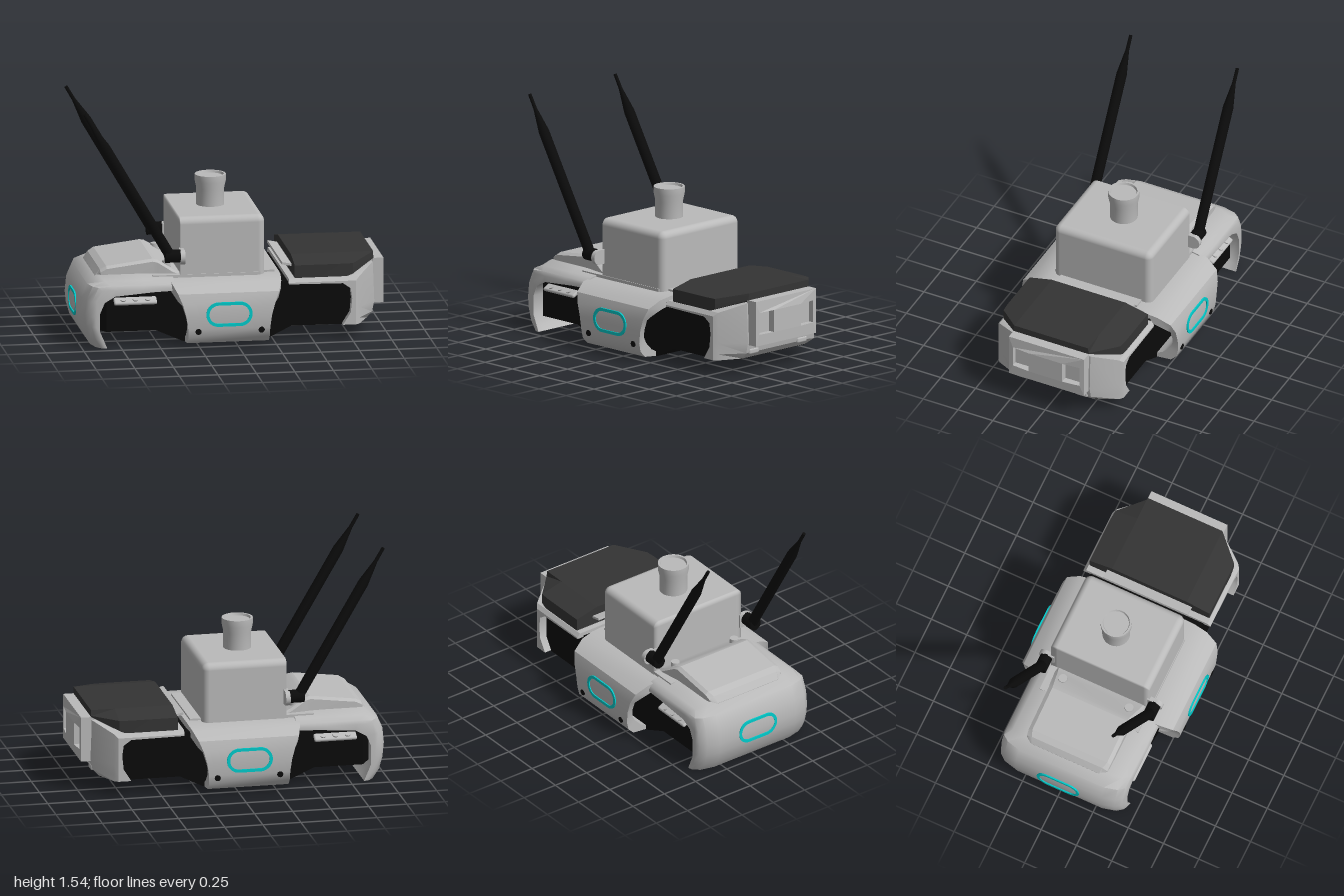
import * as THREE from 'three';
import { toCreasedNormals } from 'three/addons/utils/BufferGeometryUtils.js';
import { RoundedBoxGeometry } from 'three/addons/geometries/RoundedBoxGeometry.js';

const mat = (name, color) => Object.assign(new THREE.MeshStandardMaterial({ color }), { name });

// Closed skin through equal-length rings of [x,y,z]; u is the axis used with y to cap the ends
function loft(rings, u, crease = 0.6) {
  const n = rings[0].length, pos = [];
  const tri = (a, b, c) => pos.push(...a, ...b, ...c);
  for (let r = 0; r < rings.length - 1; r++) {
    for (let i = 0; i < n; i++) {
      const j = (i + 1) % n, a = rings[r], b = rings[r + 1];
      tri(a[i], a[j], b[j]);
      tri(a[i], b[j], b[i]);
    }
  }
  for (const end of [0, rings.length - 1]) {
    const ring = rings[end];
    const flat = ring.map(p => new THREE.Vector2(p[u], p[1]));
    const sign = Math.sign(THREE.ShapeUtils.area(flat));
    for (const f of THREE.ShapeUtils.triangulateShape(flat.slice(), [])) {
      const same = THREE.ShapeUtils.area(f.map(i => flat[i])) * sign > 0;
      const [a, b, c] = f.map(i => ring[i]);
      if (same === (end > 0)) tri(a, b, c); else tri(a, c, b);
    }
  }
  // Turn the skin outwards if its volume came out negative
  let volume = 0;
  const [A, B, C] = [0, 0, 0].map(() => new THREE.Vector3());
  for (let i = 0; i < pos.length; i += 9) {
    volume += A.fromArray(pos, i).dot(B.fromArray(pos, i + 3).cross(C.fromArray(pos, i + 6)));
  }
  if (volume < 0) {
    for (let i = 0; i < pos.length; i += 9) {
      for (let k = 3; k < 6; k++) [pos[i + k], pos[i + k + 3]] = [pos[i + k + 3], pos[i + k]];
    }
  }
  const g = new THREE.BufferGeometry();
  g.setAttribute('position', new THREE.Float32BufferAttribute(pos, 3));
  return toCreasedNormals(g, crease);
}

// Flat stadium outline
function stadium(w, h, Type) {
  const s = new Type(), r = h / 2, c = w / 2 - r;
  s.absarc(c, 0, r, -Math.PI / 2, Math.PI / 2);
  s.absarc(-c, 0, r, Math.PI / 2, Math.PI * 1.5);
  s.closePath();
  return s;
}

export function createModel() {
  const group = new THREE.Group();
  const light = mat('light grey shell', 0xbababa);
  const black = mat('black', 0x0b0b0b);
  const dark = mat('dark grey', 0x343434);
  const cyan = mat('cyan light', 0x00cccc);

  const add = (name, geo, material, x = 0, y = 0, z = 0) => {
    const m = new THREE.Mesh(geo, material);
    m.name = name;
    m.position.set(x, y, z);
    group.add(m);
    return m;
  };
  const sides = fn => [1, -1].forEach(fn);

  // Black hull: [x, bottom, top, half width]
  const hull = [[-0.9, 0.11, 0.33, 0.3], [-0.84, 0.11, 0.34, 0.4], [-0.52, 0.11, 0.38, 0.4],
    [-0.34, 0.03, 0.4, 0.4], [0.21, 0.03, 0.4, 0.4], [0.36, 0.105, 0.4, 0.4],
    [0.74, 0.105, 0.38, 0.4], [0.86, 0.105, 0.36, 0.3]];
  add('hull', loft(hull.map(([x, b, t, w]) =>
    [[x, b, -w], [x, b, w], [x, t, w], [x, t, -w]]), 2, 0.2), black);

  // Middle shell: a band arching over the hull, wider at the top
  const outer = [[0.4, 0.03], [0.5, 0.04], [0.54, 0.08], [0.553, 0.14], [0.555, 0.22], [0.552, 0.3],
    [0.53, 0.37], [0.45, 0.42], [0.36, 0.437], [0.3, 0.44]];
  const inner = [[0.4, 0.06], [0.44, 0.08], [0.49, 0.13], [0.51, 0.17], [0.518, 0.22], [0.515, 0.29],
    [0.5, 0.32], [0.43, 0.36], [0.36, 0.38], [0.3, 0.39]];
  const flare = y => Math.pow(Math.max(0, (y - 0.1) / 0.34), 2);
  const band = outer.map(([z, y], i) => {
    const l = -0.33 - 0.1 * flare(y), r = 0.2 + 0.1 * flare(y), [iz, iy] = inner[i];
    return [[l, y, z], [r, y, z], [r, iy, iz], [l, iy, iz]];
  });
  const mirrored = band.map(ring => ring.map(([x, y, z]) => [x, y, -z])).reverse();
  add('middleShell', loft([...band, ...mirrored], 0), light);

  // Rear shell: C profile swept across z, rounded off at its sides
  const rearProfile = [[-0.84, 0.01], [-0.93, 0.01], [-0.97, 0.07], [-0.993, 0.15], [-1, 0.22], [-0.99, 0.32],
    [-0.95, 0.41], [-0.87, 0.46], [-0.6, 0.46], [-0.4, 0.455],
    [-0.4, 0.42], [-0.55, 0.37], [-0.8, 0.35], [-0.87, 0.31], [-0.9, 0.24], [-0.9, 0.12], [-0.87, 0.05]];
  // [z, inward shift, top limit]
  const rearSteps = [[-0.44, 0.09, 0.39], [-0.43, 0.06, 0.415], [-0.39, 0.025, 0.44], [-0.3, 0, 0.46],
    [0.3, 0, 0.46], [0.39, 0.025, 0.44], [0.43, 0.06, 0.415], [0.44, 0.09, 0.39]];
  add('rearShell', loft(rearSteps.map(([z, s, cap]) => rearProfile.map(([x, y], i) =>
    [i > 0 && i < 8 ? x + s * 0.9 : x + (i > 10 ? s * 0.15 : 0), i === 10 ? Math.min(y, cap - 0.015) : Math.min(y, cap), z])), 0, 0.7), light);

  // Head shell: C profile swept across z, chamfered at its corners
  const headProfile = [[0.69, 0.11], [0.87, 0.11], [0.905, 0.15], [0.92, 0.22], [0.91, 0.48], [0.72, 0.43],
    [0.34, 0.425], [0.34, 0.39], [0.69, 0.385], [0.74, 0.35], [0.75, 0.28], [0.74, 0.19]];
  // [z, x limit, top limit]
  const headSteps = [[-0.45, 0.775, 0.4], [-0.43, 0.8, 0.425], [-0.28, 0.925, 0.485],
    [0.28, 0.925, 0.485], [0.43, 0.8, 0.425], [0.45, 0.775, 0.4]];
  add('headShell', loft(headSteps.map(([z, lim, cap]) =>
    headProfile.map(([x, y]) => [Math.min(x, lim), Math.min(y, cap), z])), 0, 0.5), light);

  // Dark cover on the head: [x, half width, bottom]
  add('headCover', loft([[0.38, 0.425, 0.415], [0.7, 0.425, 0.415], [0.76, 0.42, 0.44], [0.915, 0.27, 0.5]].map(([x, w, b]) =>
    [[x, b, -w], [x, b, w], [x, 0.508, w], [x, 0.545, Math.min(w, 0.265)],
      [x, 0.545, -Math.min(w, 0.265)], [x, 0.508, -w]]), 2, 0.15), dark);
  const lip = add('coverLip', new THREE.BoxGeometry(0.1, 0.015, 0.6), light, 0.365, 0.485, 0);
  lip.rotation.z = -0.2;

  // Sensor face on the head with two square recesses, bowed slightly outwards
  const face = new THREE.Shape([[-0.27, 0.205], [0.27, 0.205], [0.27, 0.5], [-0.27, 0.5]].map(p => new THREE.Vector2(...p)));
  sides(s => {
    const c = 0.18 * s;
    face.holes.push(new THREE.Path([[c - 0.06, 0.28], [c + 0.06, 0.28], [c + 0.06, 0.425], [c - 0.06, 0.425]]
      .map(p => new THREE.Vector2(...p))));
  });
  const faceGeo = new THREE.ExtrudeGeometry(face, { depth: 0.07, bevelEnabled: false }).rotateY(Math.PI / 2);
  const fp = faceGeo.attributes.position;
  for (let i = 0; i < fp.count; i++) fp.setX(i, fp.getX(i) - 0.25 * fp.getZ(i) ** 2);
  faceGeo.computeVertexNormals();
  add('sensorFace', faceGeo, light, 0.93, 0, 0);
  add('sensorFaceBack', new THREE.BoxGeometry(0.06, 0.28, 0.52), light, 0.92, 0.353, 0);
  sides(s => add('headSlot', new RoundedBoxGeometry(0.03, 0.04, 0.09, 2, 0.013), light, 0.9, 0.157, 0.215 * s));

  // Deck and equipment box, flat on its rear face
  add('deck', new THREE.BoxGeometry(0.7, 0.03, 0.7), light, -0.18, 0.442, 0);
  add('deckEnd', new THREE.BoxGeometry(0.1, 0.025, 0.58), light, 0.22, 0.44, 0);
  const box = new RoundedBoxGeometry(0.65, 0.48, 0.7, 5, 0.045).translate(-0.125, 0.59, -0.005);
  const bp = box.attributes.position;
  for (let i = 0; i < bp.count; i++) bp.setX(i, Math.max(bp.getX(i), -0.35));
  add('equipmentBox', box, light);

  // Round scanner with a shallow dished top
  const scanner = [[0.09, 0.82], [0.09, 0.94], [0.1, 0.985], [0.1, 1.03], [0.087, 1.03], [0.082, 1.015], [0, 1.015]];
  add('scanner', toCreasedNormals(new THREE.LatheGeometry(scanner.map(p => new THREE.Vector2(...p)), 40), 0.5),
    light, -0.1, 0, -0.01);

  // Raised rear hatch: [x, top, half width at base, half width at top]
  add('rearHatch', loft([[-0.89, 0.45, 0.25, 0.24], [-0.86, 0.49, 0.285, 0.25], [-0.82, 0.512, 0.29, 0.265],
    [-0.52, 0.55, 0.29, 0.265], [-0.49, 0.543, 0.295, 0.27], [-0.39, 0.48, 0.31, 0.29], [-0.35, 0.465, 0.31, 0.3]].map(([x, t, w, v]) =>
    [[x, 0.43, -w], [x, 0.43, w], [x, t - 0.015, w], [x, t, v], [x, t, -v], [x, t - 0.015, -w]]), 2, 0.35), light);

  const mast = [[0, 0], [0.034, 0], [0.034, 0.84], [0.012, 1.0], [0.011, 1.1], [0, 1.1]].map(p => new THREE.Vector2(...p));
  const mastGeo = toCreasedNormals(new THREE.LatheGeometry(mast, 16), 0.5);
  const ring = stadium(0.3, 0.16, THREE.Shape);
  ring.holes.push(stadium(0.26, 0.12, THREE.Path));
  const ringGeo = new THREE.ExtrudeGeometry(ring, { depth: 0.009, bevelEnabled: false, curveSegments: 16 });

  sides(s => {
    // Hatch knobs
    add('hatchKnob', new THREE.CylinderGeometry(0.028, 0.03, 0.05, 20), light, -0.425, 0.505, 0.235 * s);
    // Antenna with its bracket and joint
    const z = 0.383 * s;
    add('antennaBracket', new THREE.BoxGeometry(0.03, 0.095, 0.06), light, -0.345, 0.583, 0.36 * s);
    add('antennaBracketEnd', new THREE.CylinderGeometry(0.0475, 0.0475, 0.03, 24).rotateZ(Math.PI / 2), light, -0.345, 0.583, 0.389 * s);
    add('antennaJoint', new THREE.CylinderGeometry(0.042, 0.042, 0.1, 20).rotateZ(Math.PI / 2), black, -0.405, 0.59, z);
    add('antenna', mastGeo, black, -0.425, 0.597, z).rotation.z = Math.atan2(0.553, 0.95);
    // Side light and screws
    add('sideLight', ringGeo, cyan, -0.065, 0.235, s > 0 ? 0.552 : -0.561);
    [-0.265, 0.145].forEach(x => add('shellScrew',
      new THREE.CylinderGeometry(0.02, 0.02, 0.009, 12).rotateX(Math.PI / 2), black, x, 0.125, 0.551 * s));
    // Tilted control panel with buttons
    const panel = add('controlPanel', new RoundedBoxGeometry(0.28, 0.025, 0.1, 2, 0.012), light, -0.655, 0.32, 0.4 * s);
    panel.rotation.x = 0.5 * s;
    [-0.08, 0, 0.08].forEach(x => {
      const button = new THREE.Mesh(new THREE.CylinderGeometry(0.018, 0.018, 0.012, 16), light);
      button.name = 'panelButton';
      button.position.set(x, 0.015, 0.02 * s);
      panel.add(button);
    });
  });

  // Rear light
  add('rearLight', ringGeo, cyan, -0.993, 0.23, 0).rotation.y = -Math.PI / 2;
  return group;
}
